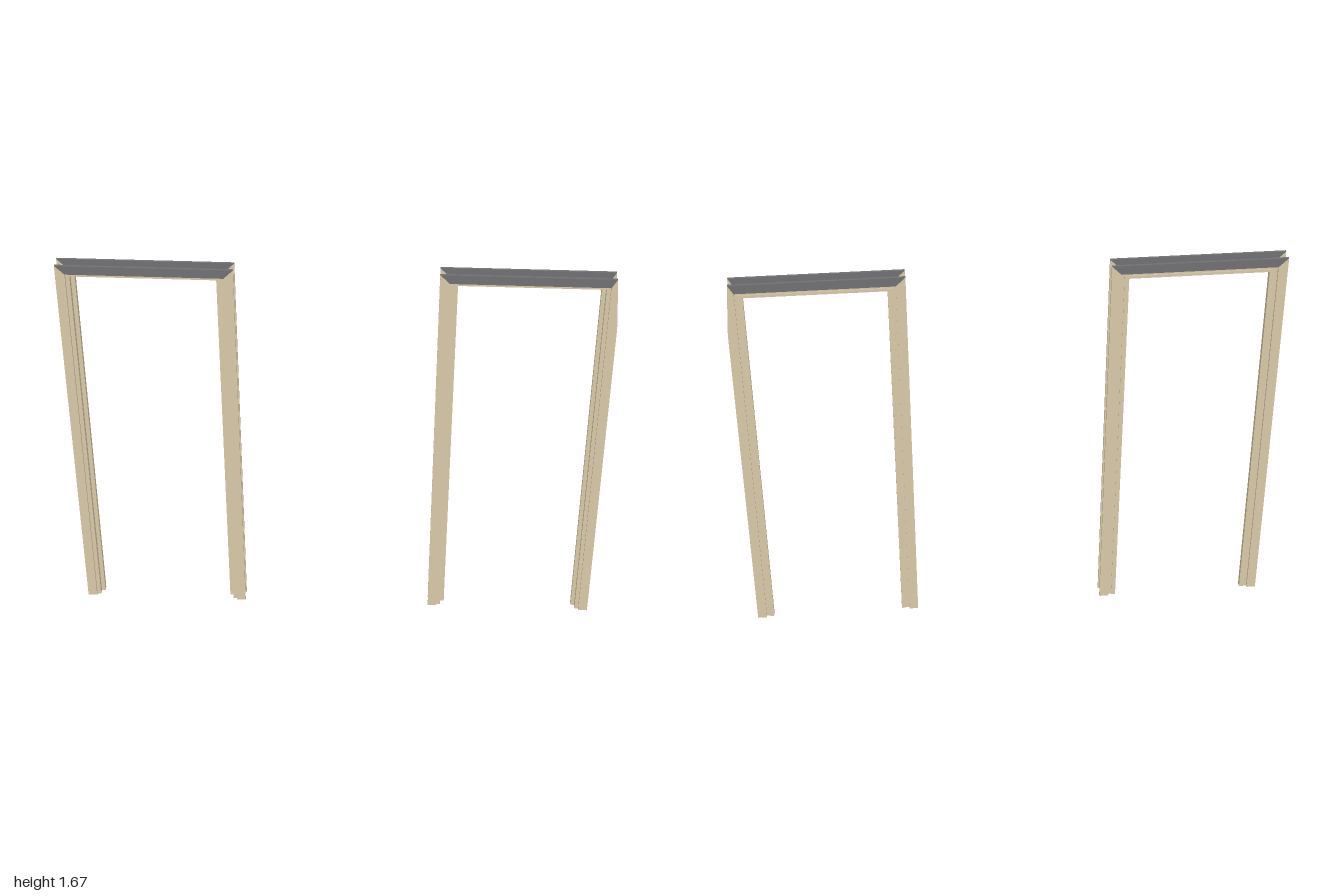
import * as THREE from 'three';

const HALF = 0.346, INNER = 0.308, TOP = 1.67, HEAD = 1.632; // casing outline
const DEPTH = 0.031, PLATE = 0.01;                            // half depth, casing thickness

const wood = new THREE.MeshStandardMaterial({ color: 0xd8c8a8 });
const darkGrey = new THREE.MeshStandardMaterial({ color: 0x707074 });

function slab(name, points, z, depth, material) {
  const shape = new THREE.Shape(points.map(([x, y]) => new THREE.Vector2(x, y)));
  const geometry = new THREE.ExtrudeGeometry(shape, { depth, bevelEnabled: false });
  geometry.translate(0, 0, z);
  const mesh = new THREE.Mesh(geometry, material);
  mesh.name = name;
  return mesh;
}

// Upside-down U: two posts and a lintel in one outline
function arch(name, outer, inner, top, under, z, depth) {
  return slab(name, [
    [-outer, 0], [-inner, 0], [-inner, under], [inner, under],
    [inner, 0], [outer, 0], [outer, top], [-outer, top],
  ], z, depth, wood);
}

// taper pulls the upper outer corner of the +x post inwards
function doorFrame(name, taper) {
  const frame = new THREE.Group();
  frame.name = name;

  // Lining between the casings, and the rebate stop on its rear half
  frame.add(arch('jamb', 0.313, 0.292, 1.637, 1.618, -DEPTH + PLATE, 2 * (DEPTH - PLATE)));
  frame.add(arch('doorStop', 0.294, 0.276, 1.62, 1.608, -0.024, 0.022));

  // Mitred casing on both faces
  for (const [side, z] of [['front', DEPTH - PLATE], ['back', -DEPTH]]) {
    const corner = HALF - taper;
    frame.add(slab(side + 'LeftCasing', [
      [INNER, 0], [HALF, 0], [HALF, 1.45], [corner, TOP], [INNER, HEAD],
    ], z, PLATE, wood));
    frame.add(slab(side + 'RightCasing', [
      [-HALF, 0], [-INNER, 0], [-INNER, HEAD], [-HALF, TOP],
    ], z, PLATE, wood));
    frame.add(slab(side + 'HeadCasing', [
      [-INNER, HEAD], [INNER, HEAD], [corner, TOP], [-HALF, TOP],
    ], z, PLATE, darkGrey));
  }
  return frame;
}

export function createModel() {
  const model = new THREE.Group();
  model.name = 'doorFrames';
  for (const s of [1, -1]) {
    const frame = doorFrame(s > 0 ? 'leftDoorFrame' : 'rightDoorFrame', s > 0 ? 0.016 : 0);
    frame.position.set(s * 0.673, 0, s * -0.317);
    frame.rotation.y = THREE.MathUtils.degToRad(25);
    model.add(frame);
  }
  return model;
}
